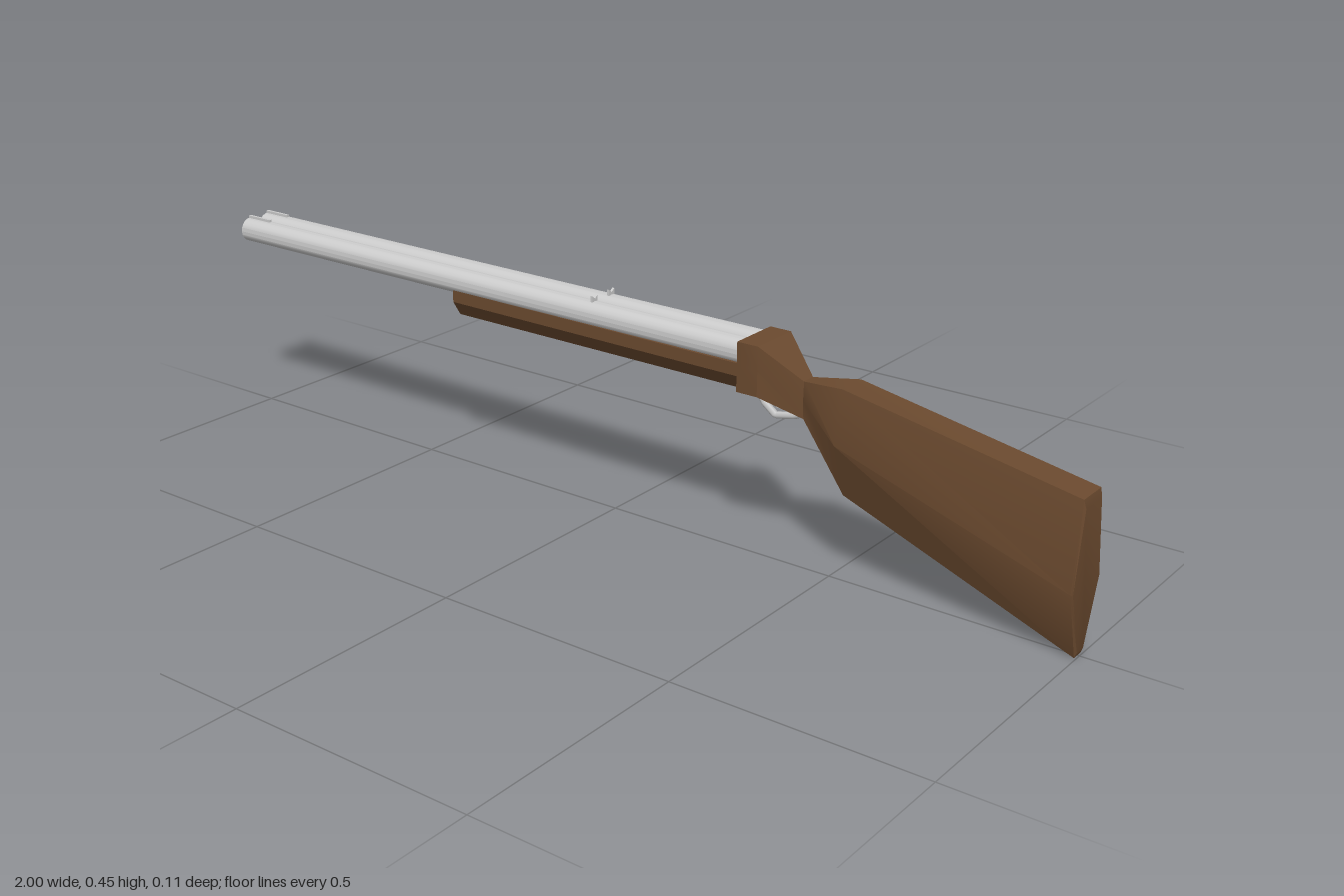
import * as THREE from 'three';
import { toCreasedNormals } from 'three/addons/utils/BufferGeometryUtils.js';

const metal = new THREE.MeshStandardMaterial({ color: 0xcccccc });
const wood = new THREE.MeshStandardMaterial({ color: 0x6b4a2f });

// Loft along x through six-sided mirrored sections:
// [x, topY, topHalfWidth, midY, midHalfWidth, bottomY, bottomHalfWidth]
function loft(sections, crease = 0.5) {
  const pos = [], idx = [], n = 6;
  for (const [x, ty, tw, my, mw, by, bw] of sections) {
    pos.push(x, ty, tw, x, my, mw, x, by, bw, x, by, -bw, x, my, -mw, x, ty, -tw);
  }
  const last = (sections.length - 1) * n;
  for (let i = 0; i < last; i += n) {
    for (let j = 0; j < n; j++) {
      const a = i + j, b = i + (j + 1) % n;
      idx.push(a, b, b + n, a, b + n, a + n);
    }
  }
  // end caps
  for (let j = 1; j < n - 1; j++) {
    idx.push(0, j + 1, j, last, last + j, last + j + 1);
  }
  const g = new THREE.BufferGeometry();
  g.setAttribute('position', new THREE.Float32BufferAttribute(pos, 3));
  g.setIndex(idx);
  return toCreasedNormals(g, crease);
}

// Round bent bar through points in the z = 0 plane
function bentBar(points, radius) {
  const path = new THREE.CurvePath();
  const v = points.map(([x, y]) => new THREE.Vector3(x, y, 0));
  for (let i = 1; i < v.length; i++) path.add(new THREE.LineCurve3(v[i - 1], v[i]));
  return new THREE.TubeGeometry(path, 24, radius, 6);
}

export function createModel() {
  const model = new THREE.Group();
  const add = (name, geometry, material, x = 0, y = 0, z = 0) => {
    const mesh = new THREE.Mesh(geometry, material);
    mesh.name = name;
    mesh.position.set(x, y, z);
    model.add(mesh);
    return mesh;
  };

  // Hollow barrel, turned about its axis and laid along x
  const profile = [[0, 0.25], [0.02, 0.25], [0.02, 1.34], [0.026, 1.34], [0.026, 0], [0, 0]]
    .map(([r, h]) => new THREE.Vector2(r, h)).reverse();
  const barrel = toCreasedNormals(new THREE.LatheGeometry(profile, 20), 0.6);
  barrel.rotateZ(Math.PI / 2);

  // Notched rear sight leaf
  const leaf = new THREE.Shape([[-0.008, -0.004], [0.008, -0.004], [0.008, 0.012],
    [0, 0.006], [-0.008, 0.012]].map(([x, y]) => new THREE.Vector2(x, y)));
  const rearSight = new THREE.ExtrudeGeometry(leaf, { depth: 0.005, bevelEnabled: false });
  rearSight.rotateY(Math.PI / 2);

  for (const [side, z] of [['front', 0.026], ['back', -0.026]]) {
    add(side + 'Barrel', barrel, metal, 0.34, 0.411, z);
    add(side + 'RearSight', rearSight, metal, -0.034, 0.436, z);
    add(side + 'MuzzleSight', new THREE.BoxGeometry(0.065, 0.01, 0.006), metal, -0.967, 0.437, z);
  }

  // Wooden fore-end under the barrels
  add('foreEnd', loft([
    [-0.38, 0.395, 0.046, 0.37, 0.046, 0.339, 0.026],
    [0.33, 0.395, 0.053, 0.37, 0.053, 0.34, 0.032],
  ]), wood);

  // Receiver block, pinched wrist and shoulder stock in one piece
  add('stock', loft([
    [0.32, 0.437, 0.054, 0.39, 0.054, 0.34, 0.054],
    [0.365, 0.437, 0.054, 0.39, 0.054, 0.34, 0.054],
    [0.44, 0.376, 0.015, 0.34, 0.016, 0.303, 0.013],
    [0.53, 0.387, 0.032, 0.285, 0.052, 0.177, 0.013],
    [0.996, 0.302, 0.033, 0.135, 0.052, 0.001, 0.013],
    [1, 0.285, 0.03, 0.135, 0.051, 0.012, 0.012],
  ]), wood);

  // Trigger guard and trigger
  add('triggerGuard', bentBar([[0.335, 0.345], [0.345, 0.312], [0.372, 0.291],
    [0.415, 0.3], [0.445, 0.315]], 0.007), metal);
  add('trigger', bentBar([[0.37, 0.345], [0.382, 0.325], [0.377, 0.308]], 0.005), metal);

  return model;
}
